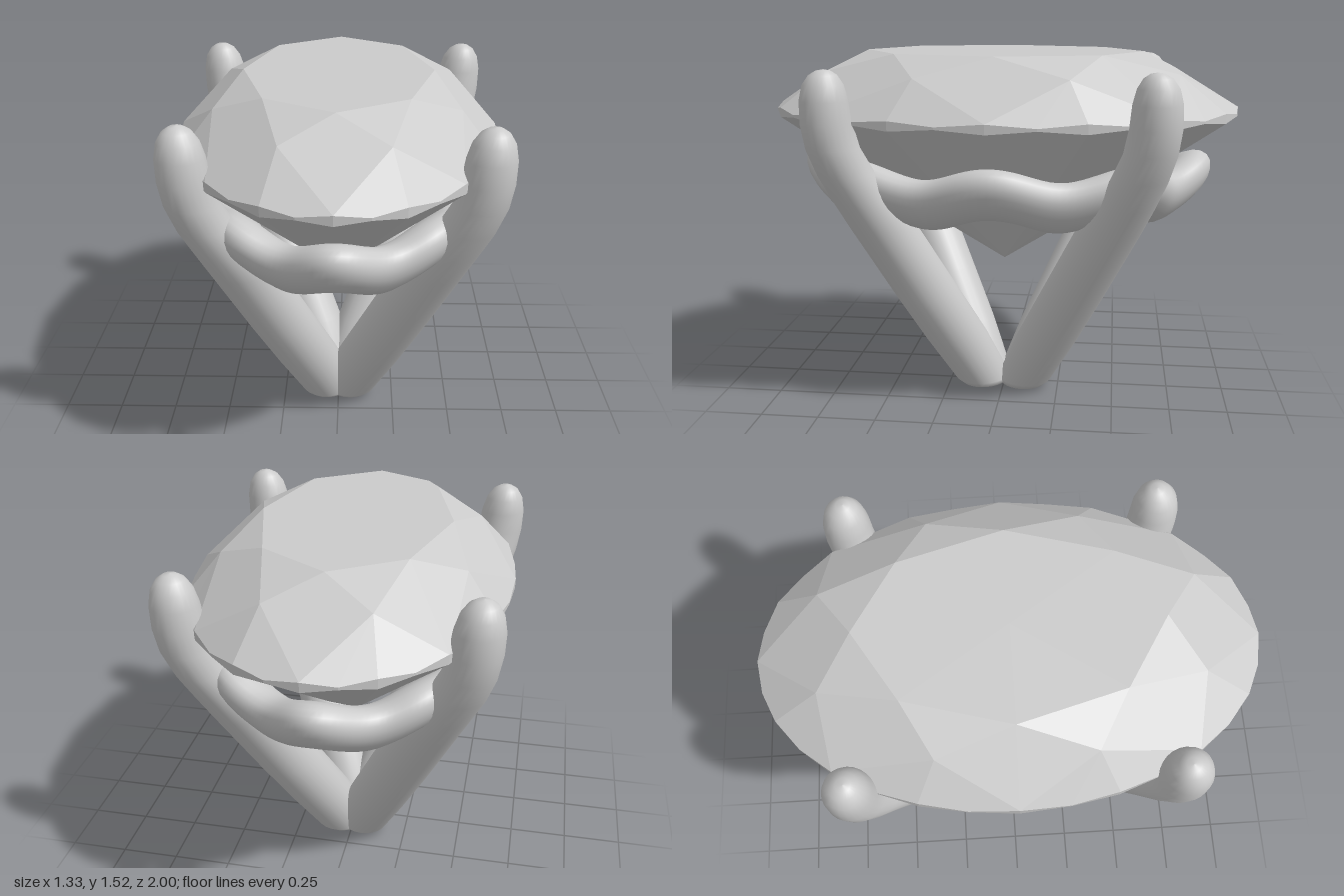
import * as THREE from 'three';

const grey = (opts = {}) => new THREE.MeshStandardMaterial({ color: 0xcccccc, roughness: 0.5, ...opts });
const ASPECT = 0.665; // oval width / length

// Smooth skin over rings of points (equal counts); closed around each ring.
function loft(rings, loop = false) {
  const n = rings[0].length, m = rings.length, index = [];
  for (let i = 0; i < (loop ? m : m - 1); i++) {
    for (let j = 0; j < n; j++) {
      const k = (j + 1) % n, i2 = (i + 1) % m;
      const a = i * n + j, b = i * n + k, c = i2 * n + k, d = i2 * n + j;
      index.push(a, d, b, b, d, c);
    }
  }
  const g = new THREE.BufferGeometry().setFromPoints(rings.flat());
  g.setIndex(index);
  g.computeVertexNormals();
  return g;
}

// Oval brilliant cut: table, star, kite and girdle facets, pavilion to a culet.
function gemGeometry() {
  const at = (step, r, y) => {
    const t = step * Math.PI / 16; // 32 steps around the girdle
    return new THREE.Vector3(Math.sin(t) * r * ASPECT, y, Math.cos(t) * r);
  };
  const points = [], inside = new THREE.Vector3(0, 1.22, 0);
  const tri = (a, b, c) => {
    const normal = b.clone().sub(a).cross(c.clone().sub(a));
    if (normal.dot(a.clone().sub(inside)) < 0) points.push(a, c, b);
    else points.push(a, b, c);
  };
  const wave = s => (Math.abs(s) % 2 ? 0 : 1);
  const top = s => at(s, 1, 1.285 + 0.015 * wave(s));
  const low = s => at(s, 1, 1.275 - 0.015 * wave(s));
  const table = s => at(s, 0.6, 1.53);
  const star = s => at(s, 0.8, 1.45);
  const lower = s => at(s, 0.27, 0.77);
  const centre = at(0, 0, 1.53), culet = at(0, 0, 0.6);

  for (let s = 0; s < 32; s += 4) {
    tri(centre, table(s), table(s + 4));
    tri(table(s), star(s + 2), table(s + 4));
    // crown and pavilion kites
    for (const side of [-2, 2]) {
      tri(table(s), star(s + side), top(s));
      tri(culet, lower(s + side), low(s));
    }
    // girdle facets
    for (let k = s; k < s + 4; k++) {
      tri(star(s + 2), top(k), top(k + 1));
      tri(lower(s + 2), low(k), low(k + 1));
      tri(top(k), low(k), low(k + 1));
      tri(top(k), low(k + 1), top(k + 1));
    }
  }
  const g = new THREE.BufferGeometry().setFromPoints(points);
  g.computeVertexNormals();
  return g;
}

// Prong stations: x, y, z, radius, stretch along the lean
const PRONG = [
  [0.045, 0.005, 0.085, 0, 1], [0.045, 0.008, 0.085, 0.045, 1],
  [0.045, 0.02, 0.088, 0.095, 1.1], [0.045, 0.045, 0.095, 0.112, 1.15],
  [0.135, 0.27, 0.2, 0.122, 1.19], [0.235, 0.5, 0.31, 0.122, 1.19],
  [0.375, 0.83, 0.465, 0.12, 1.18], [0.435, 0.95, 0.525, 0.113, 1.15],
  [0.497, 1.07, 0.58, 0.105, 1.12], [0.54, 1.18, 0.618, 0.1, 1.08],
  [0.56, 1.28, 0.634, 0.099, 1.03], [0.568, 1.37, 0.637, 0.095, 1],
  [0.572, 1.43, 0.637, 0.08, 1], [0.574, 1.468, 0.635, 0.055, 1],
  [0.575, 1.485, 0.633, 0.028, 1], [0.575, 1.49, 0.632, 0, 1],
];

function prongGeometry(sx, sz) {
  const h = Math.SQRT1_2;
  return loft(PRONG.map(([x, y, z, r, stretch]) => {
    const ring = [];
    for (let j = 0; j < 24; j++) {
      const t = j / 24 * Math.PI * 2;
      const u = Math.cos(t) * r * stretch * h, v = Math.sin(t) * r * h;
      ring.push(new THREE.Vector3(sx * x + sx * u - sz * v, y, sz * z + sz * u + sx * v));
    }
    return ring;
  }));
}

// Wavy support ring: a leaning oval section swept round the oval, eight crests
function galleryGeometry() {
  const rings = [], steps = 160, sides = 20;
  for (let i = 0; i < steps; i++) {
    const a = i / steps * Math.PI * 2;
    const crest = Math.cos(8 * a);
    const r = 0.752 + 0.033 * crest, y = 0.965 + 0.032 * crest;
    const normal = new THREE.Vector2(Math.sin(a) / ASPECT, Math.cos(a)).normalize();
    const ring = [];
    for (let j = 0; j < sides; j++) {
      const t = j / sides * Math.PI * 2;
      const along = Math.cos(t) * 0.135, across = Math.sin(t) * 0.085;
      const out = (along + across) * Math.SQRT1_2, up = (along - across) * Math.SQRT1_2;
      ring.push(new THREE.Vector3(
        Math.sin(a) * r * 0.64 + normal.x * out, y + up, Math.cos(a) * r + normal.y * out));
    }
    rings.push(ring);
  }
  return loft(rings, true);
}

export function createModel() {
  const group = new THREE.Group();
  const add = (name, geometry, material) => {
    const mesh = new THREE.Mesh(geometry, material);
    mesh.name = name;
    group.add(mesh);
  };
  const metal = grey({ side: THREE.DoubleSide });
  add('gemstone', gemGeometry(), grey({ flatShading: true }));
  add('galleryRing', galleryGeometry(), metal);
  for (const sx of [1, -1]) {
    for (const sz of [1, -1]) {
      add(`${sz > 0 ? 'front' : 'back'}${sx > 0 ? 'Left' : 'Right'}Prong`, prongGeometry(sx, sz), metal);
    }
  }
  return group;
}
